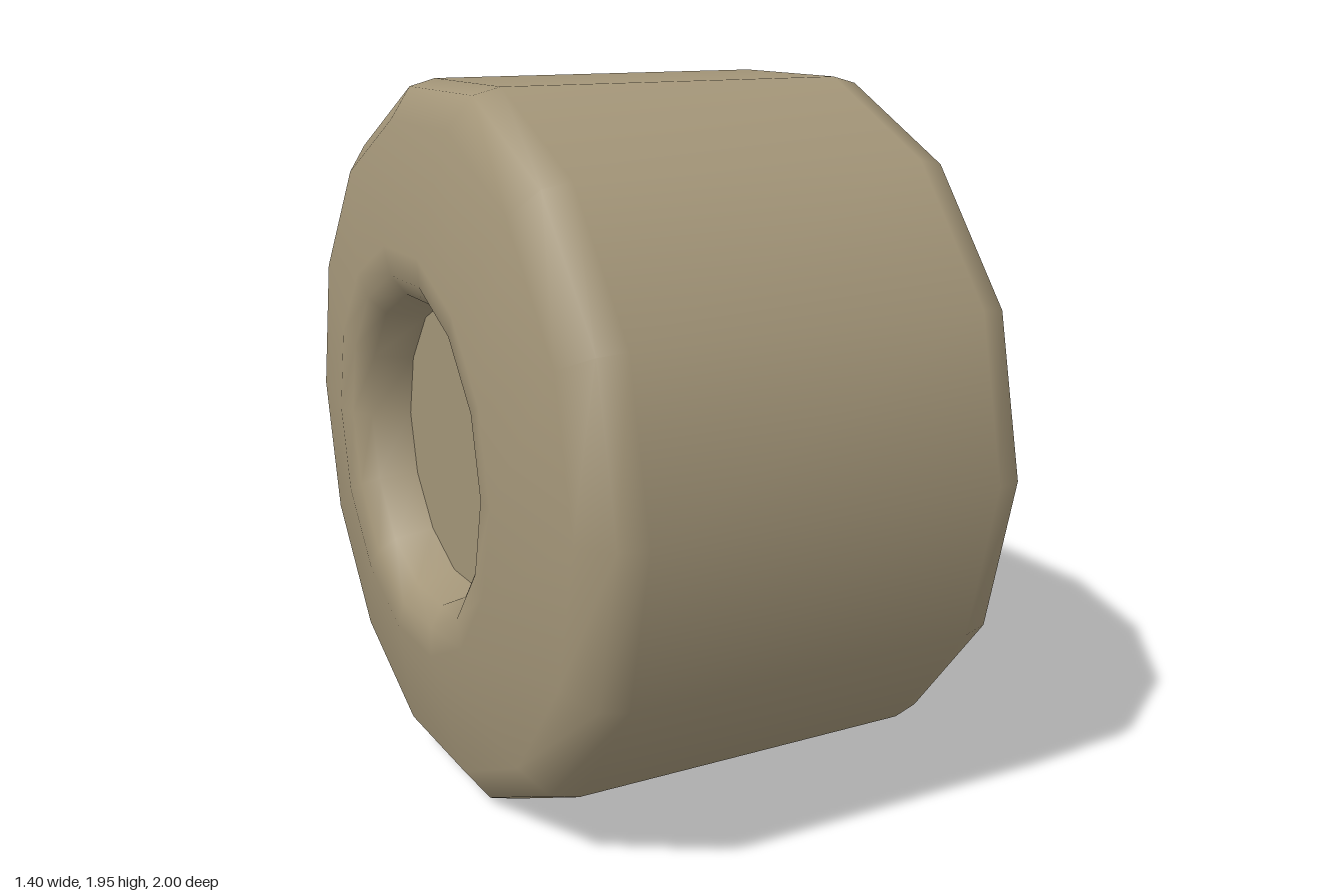
import * as THREE from 'three';

const SIDES = 14;
const CENTRE_Y = 0.975;

export function createModel() {
  const wheel = new THREE.Group();
  wheel.name = 'wheel';

  const tan = new THREE.MeshStandardMaterial({ color: 0xa39578 });
  tan.name = 'tan';
  const greyBlue = new THREE.MeshStandardMaterial({ color: 0x8d919d });
  greyBlue.name = 'greyBlue';

  const add = (name, geometry, material, x = 0) => {
    const mesh = new THREE.Mesh(geometry, material);
    mesh.name = name;
    mesh.position.set(x, CENTRE_Y, 0);
    wheel.add(mesh);
  };

  // Half profile [radius, x], from the tread shoulder into the hub recess
  const half = [
    [1.0, 0.5], [0.98, 0.575], [0.892, 0.64], [0.559, 0.7],
    [0.48, 0.69], [0.425, 0.65], [0.4, 0.54],
  ];
  const profile = [
    ...half.map(([r, x]) => new THREE.Vector2(r, -x)).reverse(),
    ...half.map(([r, x]) => new THREE.Vector2(r, x)),
  ];
  // Tyre: lathe turned so its axis lies along x
  add('tyre', new THREE.LatheGeometry(profile, SIDES).rotateZ(-Math.PI / 2), tan);

  // Recessed hub discs on both sides
  for (const [name, side] of [['leftHub', 1], ['rightHub', -1]]) {
    add(name, new THREE.CircleGeometry(0.4, SIDES).rotateY(side * Math.PI / 2), tan, side * 0.54);
  }

  // Axle end, on one side only
  add('axleEnd', new THREE.CircleGeometry(0.13, SIDES).rotateY(Math.PI / 2), greyBlue, 0.545);

  return wheel;
}
